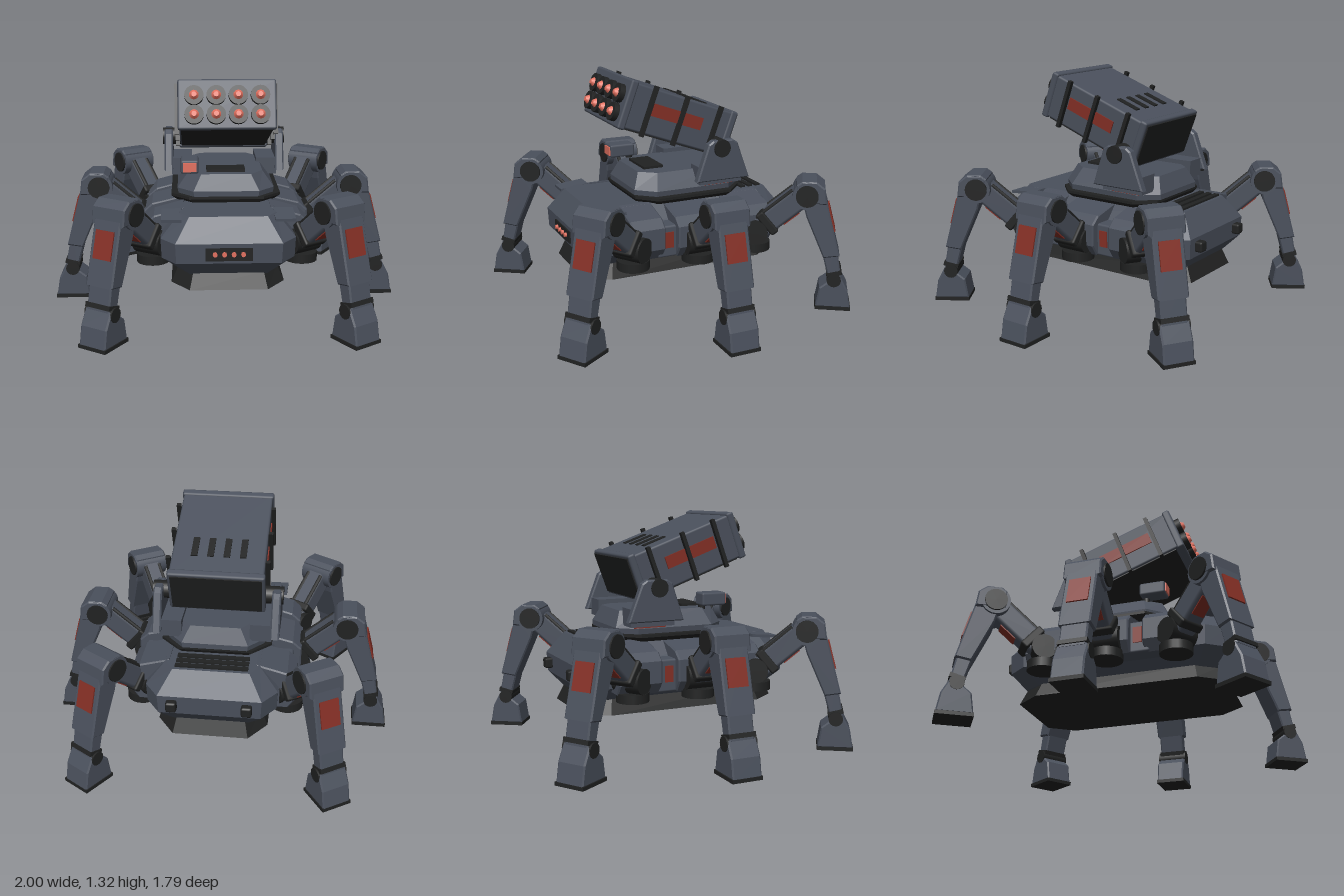
import * as THREE from 'three';
import { RoundedBoxGeometry } from 'three/addons/geometries/RoundedBoxGeometry.js';

const mat = (name, color) => Object.assign(new THREE.MeshStandardMaterial({ color }), { name });

export function createModel() {
  const armour = mat('slate armour', 0x4a505c);
  const dark = mat('black metal', 0x212222);
  const red = mat('rust red', 0x842f25);
  const glow = mat('salmon lens', 0xe2705f);
  const model = new THREE.Group();
  model.name = 'sixLeggedLauncher';

  // ---- helpers ----
  const add = (parent, name, geo, m, x = 0, y = 0, z = 0) => {
    const mesh = new THREE.Mesh(geo, m);
    mesh.name = name;
    mesh.position.set(x, y, z);
    parent.add(mesh);
    return mesh;
  };
  const box = (w, h, d) => new THREE.BoxGeometry(w, h, d);
  const soft = (w, h, d, r = 0.012) => new RoundedBoxGeometry(w, h, d, 1, r);
  const cyl = (r, len, axis = 'y', sides = 20, r2 = r) => {
    const g = new THREE.CylinderGeometry(r, r2, len, sides);
    if (axis === 'x') g.rotateZ(-Math.PI / 2);
    if (axis === 'z') g.rotateX(Math.PI / 2);
    return g;
  };
  // side profile, extruded and centred on its depth
  const slab = (pts, depth, bevel = 0.008) => {
    const shape = new THREE.Shape(pts.map(p => new THREE.Vector2(...p)));
    const g = new THREE.ExtrudeGeometry(shape, {
      depth: depth - 2 * bevel, bevelSize: bevel, bevelThickness: bevel,
      bevelOffset: -bevel, bevelSegments: 1,
    });
    return g.translate(0, 0, bevel - depth / 2);
  };
  // stack of chamfered rectangles: [y, halfX, halfZ, chamferX, chamferZ]
  const octLoft = levels => {
    const rings = levels.map(([y, x, z, cx, cz]) => [
      [x, y, -z + cz], [x, y, z - cz], [x - cx, y, z], [-x + cx, y, z],
      [-x, y, z - cz], [-x, y, -z + cz], [-x + cx, y, -z], [x - cx, y, -z]]);
    const pos = [];
    const tri = (...ps) => ps.forEach(p => pos.push(...p));
    for (let k = 0; k < rings.length - 1; k++) {
      const a = rings[k], b = rings[k + 1];
      for (let i = 0; i < 8; i++) {
        const j = (i + 1) % 8;
        tri(a[i], b[i], a[j]);
        tri(a[j], b[i], b[j]);
      }
    }
    const lo = rings[0], hi = rings[rings.length - 1];
    for (let i = 1; i < 7; i++) {
      tri(lo[0], lo[i], lo[i + 1]);
      tri(hi[0], hi[i + 1], hi[i]);
    }
    const g = new THREE.BufferGeometry();
    g.setAttribute('position', new THREE.Float32BufferAttribute(pos, 3));
    g.computeVertexNormals();
    return g;
  };

  // ---- hull ----
  const hull = new THREE.Group();
  hull.name = 'hull';
  model.add(hull);
  add(hull, 'bellySkirt', octLoft([[0.23, 0.31, 0.6, 0.1, 0.14], [0.32, 0.27, 0.56, 0.08, 0.12]]), dark);
  add(hull, 'hullShell', octLoft([
    [0.31, 0.27, 0.56, 0.06, 0.1], [0.39, 0.36, 0.63, 0.08, 0.11],
    [0.5, 0.365, 0.635, 0.08, 0.11], [0.625, 0.26, 0.55, 0.05, 0.08]]), armour);
  add(hull, 'lightPanel', box(0.25, 0.07, 0.012), dark, 0, 0.442, 0.635);
  for (const x of [-0.075, -0.025, 0.025, 0.075])
    add(hull, 'frontLight', cyl(0.013, 0.02, 'z', 8), glow, x, 0.445, 0.645);
  for (const z of [-0.415, -0.465, -0.515])
    add(hull, 'rearVent', box(0.4, 0.016, 0.03), dark, 0, 0.628, z);
  for (const s of [-1, 1]) {
    add(hull, 'rearStud', soft(0.06, 0.06, 0.05), dark, s * 0.205, 0.45, -0.65);
    const fin = add(hull, 'frontFin', box(0.11, 0.016, 0.17), armour, s * 0.305, 0.613, 0.475);
    fin.rotation.x = 0.1;
    // sloped shoulder guards above the hips
    for (const [z, w, out] of [[0.295, 0.19, 0.455], [0, 0.26, 0.475], [-0.345, 0.25, 0.46]]) {
      const g = slab([[0.24, 0.36], [out - 0.04, 0.36], [out, 0.42], [out, 0.54], [out - 0.05, 0.585], [0.24, 0.63]], w);
      const guard = add(hull, 'shoulderGuard', g, armour, 0, 0, z);
      if (s < 0) guard.rotation.y = Math.PI;
    }
    for (const z of [-0.17, 0.17]) {
      add(hull, 'sidePod', soft(0.16, 0.18, 0.13), armour, s * 0.35, 0.45, z);
      add(hull, 'sidePodMark', box(0.008, 0.09, 0.05), red, s * 0.432, 0.46, z);
    }
  }
  // mirrored guards are turned half around, so swap their front and rear places
  hull.children.filter(c => c.name === 'shoulderGuard').forEach(c => c.updateMatrix());

  // ---- legs: local +x points outward from the hip ----
  const makeLeg = () => {
    const leg = new THREE.Group();
    add(leg, 'hipTurntable', cyl(0.09, 0.05), dark, -0.01, 0.35, 0);
    add(leg, 'hipJoint', cyl(0.07, 0.17, 'z'), dark, 0, 0.44, 0);
    const thigh = add(leg, 'thigh', soft(0.32, 0.13, 0.12, 0.02), armour, 0.14, 0.56, 0);
    thigh.rotation.z = 0.71;
    add(thigh, 'thighMark', box(0.11, 0.008, 0.08), red, 0.02, -0.067, 0);
    add(thigh, 'thighCollar', soft(0.05, 0.15, 0.15), dark, -0.1, 0, 0);
    for (const s of [-1, 1])
      add(thigh, 'thighPiston', cyl(0.012, 0.26, 'x', 8), dark, 0, 0.06, s * 0.045);
    // knee
    add(leg, 'kneeDrum', cyl(0.08, 0.2, 'z', 24), armour, 0.28, 0.675, 0);
    add(leg, 'kneeCap', cyl(0.062, 0.222, 'z', 24), dark, 0.28, 0.675, 0);
    add(leg, 'kneeHousing', slab([[0.22, 0.63], [0.22, 0.735], [0.25, 0.757], [0.33, 0.757],
      [0.378, 0.72], [0.39, 0.63]], 0.205), armour);
    // shin
    add(leg, 'shinArmour', slab([[0.25, 0.66], [0.375, 0.7], [0.475, 0.325], [0.385, 0.31], [0.28, 0.55]], 0.17), armour);
    add(leg, 'shinMark', box(0.01, 0.15, 0.115), red, 0.422, 0.535, 0).rotation.z = 0.26;
    add(leg, 'lowerShin', slab([[0.36, 0.4], [0.45, 0.4], [0.49, 0.2], [0.42, 0.18]], 0.145), armour);
    add(leg, 'ankleBand', box(0.085, 0.025, 0.155), dark, 0.45, 0.215, 0).rotation.z = 0.26;
    add(leg, 'ankleJoint', cyl(0.04, 0.175, 'z', 16), dark, 0.45, 0.18, 0);
    // foot
    add(leg, 'foot', slab([[0.352, 0.015], [0.37, 0.13], [0.42, 0.17], [0.485, 0.205], [0.53, 0.12], [0.548, 0.015]], 0.168), armour);
    add(leg, 'sole', box(0.2, 0.02, 0.175), dark, 0.45, 0.01, 0);
    return leg;
  };
  const rows = [['front', 0.417, 0.385, 1], ['middle', 0.45, 0, 0], ['rear', 0.417, -0.385, -1]];
  for (const [row, x, z, turn] of rows)
    for (const s of [-1, 1]) {
      const leg = makeLeg();
      leg.name = `${row}${s > 0 ? 'Left' : 'Right'}Leg`;
      leg.position.set(s * x, 0, z);
      leg.rotation.y = Math.atan2(-turn * Math.sin(0.995), s * Math.cos(0.995));
      if (turn === 0) leg.rotation.y = s > 0 ? 0 : Math.PI;
      model.add(leg);
    }

  // ---- turret ----
  const turret = new THREE.Group();
  turret.name = 'turret';
  model.add(turret);
  add(turret, 'turretRing', octLoft([[0.62, 0.28, 0.31, 0.1, 0.1], [0.645, 0.31, 0.325, 0.1, 0.1],
    [0.66, 0.31, 0.325, 0.1, 0.1]]), dark, 0, 0, -0.05);
  add(turret, 'turretShell', octLoft([[0.66, 0.27, 0.325, 0.09, 0.1], [0.69, 0.275, 0.325, 0.09, 0.1],
    [0.78, 0.21, 0.285, 0.07, 0.09]]), armour, 0, 0, -0.055);
  add(turret, 'hatch', box(0.22, 0.014, 0.12), dark, 0, 0.787, 0.12);
  add(turret, 'sensorPost', cyl(0.02, 0.06, 'y', 10), dark, -0.19, 0.785, 0.15);
  add(turret, 'sensorBox', soft(0.1, 0.075, 0.15), armour, -0.205, 0.83, 0.2);
  add(turret, 'sensorLens', box(0.075, 0.05, 0.008), glow, -0.205, 0.83, 0.278);
  for (const s of [-1, 1]) {
    add(turret, 'trunnionBlock', box(0.12, 0.1, 0.26), armour, s * 0.25, 0.755, -0.21);
    add(turret, 'turretMark', box(0.008, 0.04, 0.19), red, s * 0.28, 0.715, -0.215);
    const arm = slab([[-0.37, 0.735], [-0.04, 0.735], [-0.11, 0.945], [-0.14, 0.965], [-0.26, 0.965], [-0.29, 0.945]], 0.05);
    add(turret, 'cradleArm', arm.rotateY(-Math.PI / 2), armour, s * 0.328, 0, 0);
    add(turret, 'cradlePivot', cyl(0.05, 0.13, 'x'), dark, s * 0.298, 0.92, -0.19);
  }

  // ---- launcher, tilted up ----
  const pod = new THREE.Group();
  pod.name = 'launcher';
  pod.position.set(0, 1.08, 0.03);
  pod.rotation.x = -0.35;
  model.add(pod);
  add(pod, 'podBody', soft(0.52, 0.255, 0.66), armour);
  add(pod, 'podFrontFrame', soft(0.535, 0.275, 0.045), armour, 0, 0, 0.322);
  add(pod, 'podRearFrame', soft(0.535, 0.275, 0.045), armour, 0, 0, -0.322);
  add(pod, 'podRearPlate', box(0.5, 0.24, 0.01), dark, 0, 0, -0.346);
  add(pod, 'podBellyPlate', box(0.5, 0.008, 0.58), dark, 0, -0.129, 0);
  for (const z of [0.2, 0, -0.22])
    for (const s of [-1, 1]) {
      add(pod, 'podBand', box(0.025, 0.285, 0.022), dark, s * 0.273, 0, z);
    }
  for (const s of [-1, 1])
    add(pod, 'podStripe', box(0.008, 0.07, 0.32), red, s * 0.262, 0.015, 0.02);
  for (const x of [-0.135, -0.045, 0.045, 0.135])
    add(pod, 'podSlot', box(0.036, 0.01, 0.14), dark, x, 0.129, -0.12);
  for (let i = 0; i < 4; i++)
    for (const y of [-0.06, 0.045]) {
      const x = (i - 1.5) * 0.119;
      add(pod, 'launchTube', cyl(0.052, 0.04, 'z', 20), dark, x, y, 0.355);
      add(pod, 'rocketTip', cyl(0.014, 0.02, 'z', 10, 0.028), glow, x, y, 0.383);
    }
  return model;
}
